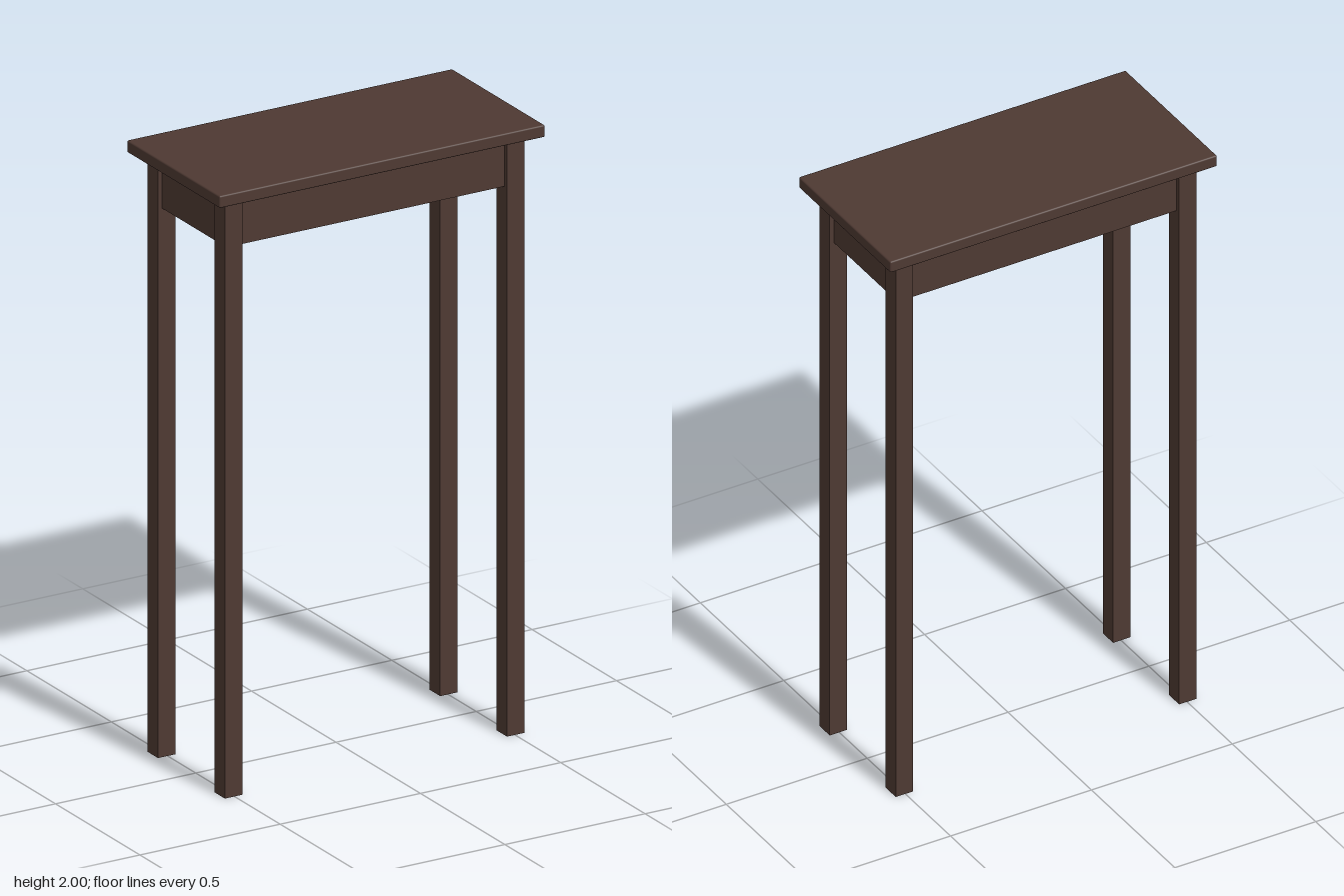
import * as THREE from 'three';
import { RoundedBoxGeometry } from 'three/addons/geometries/RoundedBoxGeometry.js';

export function createModel() {
  const group = new THREE.Group();
  const darkWood = new THREE.MeshStandardMaterial({ color: 0x4e3932 });
  darkWood.name = 'darkWood';

  const add = (name, geometry, x, y, z) => {
    const mesh = new THREE.Mesh(geometry, darkWood);
    mesh.name = name;
    mesh.position.set(x, y, z);
    group.add(mesh);
  };

  const legX = 0.503, legZ = 0.198, legSize = 0.062;
  const underside = 1.96, apronHeight = 0.16, apronThickness = 0.03;
  const inset = 0.015; // apron face set back from the leg face
  const apronY = underside - apronHeight / 2;
  const apronOffset = legSize / 2 - inset - apronThickness / 2;

  // Table top with slightly eased edges
  add('tableTop', new RoundedBoxGeometry(1.16, 0.04, 0.55, 2, 0.005), 0, 1.98, 0);

  // Four square legs
  const legGeometry = new THREE.BoxGeometry(legSize, underside, legSize);
  for (const [side, sx] of [['left', 1], ['right', -1]]) {
    for (const [end, sz] of [['Front', 1], ['Back', -1]]) {
      add(`${side}${end}Leg`, legGeometry, sx * legX, underside / 2, sz * legZ);
    }
  }

  // Apron boards between the legs
  const longApron = new THREE.BoxGeometry(2 * legX - legSize, apronHeight, apronThickness);
  const shortApron = new THREE.BoxGeometry(apronThickness, apronHeight, 2 * legZ - legSize);
  add('frontApron', longApron, 0, apronY, legZ + apronOffset);
  add('backApron', longApron, 0, apronY, -legZ - apronOffset);
  add('leftApron', shortApron, legX + apronOffset, apronY, 0);
  add('rightApron', shortApron, -legX - apronOffset, apronY, 0);

  return group;
}
